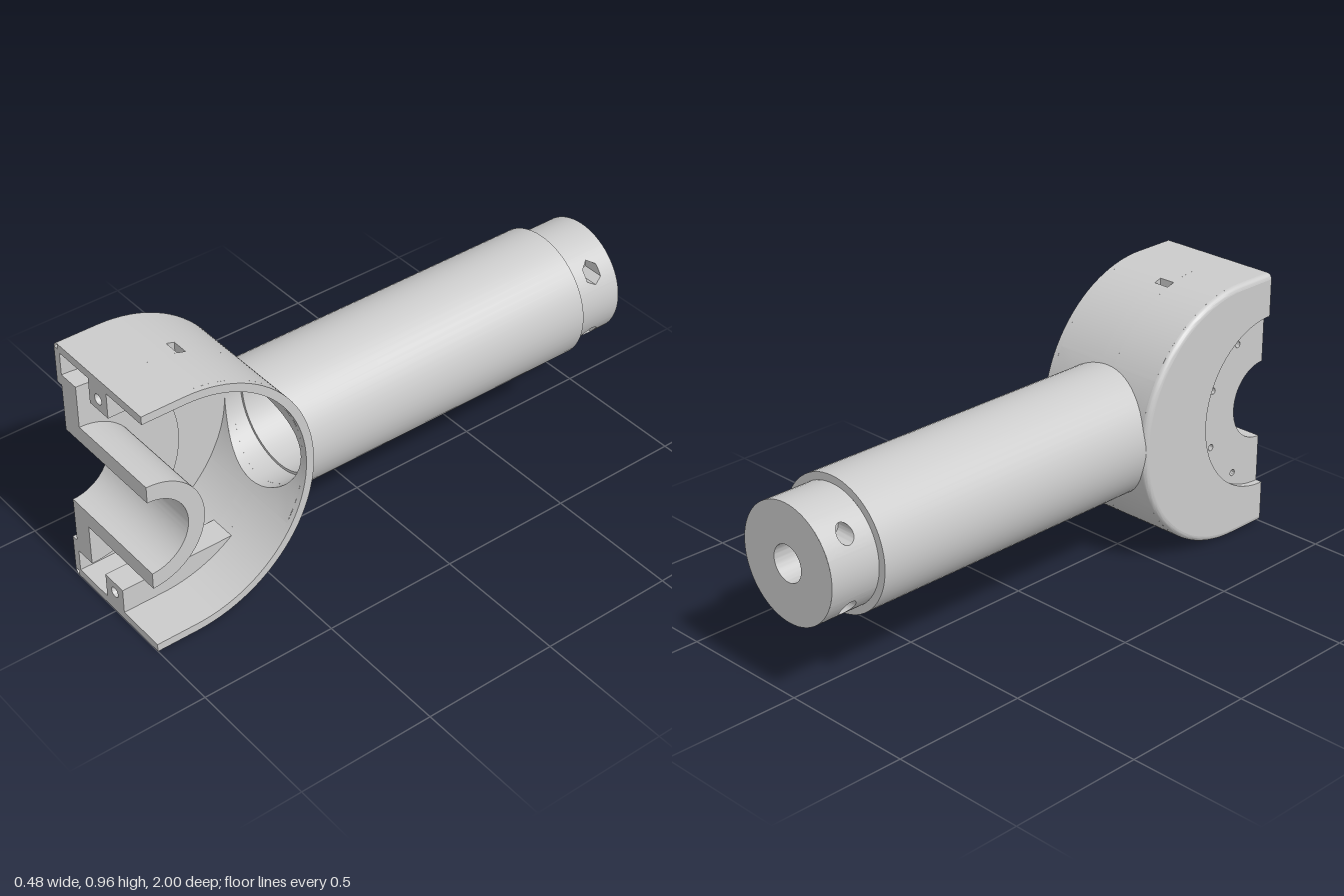
import * as THREE from 'three';
import { toCreasedNormals } from 'three/addons/utils/BufferGeometryUtils.js';

const mat = new THREE.MeshStandardMaterial({ color: 0xcccccc, side: THREE.DoubleSide });
const PI = Math.PI, H = PI / 2;
const ARC = 0.845;            // z of the centre of the rounded back
const R_OUT = 0.48, R_IN = 0.45;
const SPIGOT = 0.21, TUBE = 0.237;

function add(parent, name, geo) {
  const mesh = new THREE.Mesh(toCreasedNormals(geo, 0.5), mat);
  mesh.name = name;
  parent.add(mesh);
  return mesh;
}

// Surface from a rule: fn(i, j) returns [x, y, z]
function grid(ni, nj, fn) {
  const pos = [], idx = [];
  for (let i = 0; i <= ni; i++) for (let j = 0; j <= nj; j++) pos.push(...fn(i, j));
  for (let i = 0; i < ni; i++) for (let j = 0; j < nj; j++) {
    const a = i * (nj + 1) + j, b = a + nj + 1;
    idx.push(a, b, a + 1, b, b + 1, a + 1);
  }
  const g = new THREE.BufferGeometry();
  g.setAttribute('position', new THREE.Float32BufferAttribute(pos, 3));
  g.setIndex(idx);
  g.computeVertexNormals();
  return g;
}

// Rectangle with a hole in its middle, laid onto a curved surface by map(a, b)
function holedPatch(w, h, radius, map) {
  const n = 48, rows = 6;
  return grid(n, rows, (i, j) => {
    const t = (i / n) * PI * 2, c = Math.cos(t), s = Math.sin(t);
    const m = Math.max(Math.abs(c), Math.abs(s)), k = j / rows, r = radius(t);
    return map((1 - k) * r * c + k * w * c / m, (1 - k) * r * s + k * h * s / m);
  });
}

// Profile drawn in (-z, y), extruded along x from x0 to x1
function alongX(shape, x0, x1) {
  return new THREE.ExtrudeGeometry(shape, { depth: x1 - x0, bevelEnabled: false, curveSegments: 32 })
    .rotateY(H).translate(x0, 0, 0);
}

function arcPoints(R, from, to, n = 24) {
  return Array.from({ length: n + 1 }, (_, i) => {
    const p = from + (to - from) * i / n;
    return new THREE.Vector2(-ARC + R * Math.cos(p), R * Math.sin(p));
  });
}

const uPath = (R) => [new THREE.Vector2(-1, R), ...arcPoints(R, H, -H, 48), new THREE.Vector2(-1, -R)];

function halfRing(r0, r1) {
  const s = new THREE.Shape();
  s.absarc(-1, 0, r1, -H, H, false);
  s.absarc(-1, 0, r0, H, -H, true);
  return s;
}

// Piece of the upper wall between two cuts; no z means the end of that wall
function wallPiece(zA, zB) {
  const side = (R) => {
    const angle = (z) => (z === undefined ? Math.asin(0.24 / R) : Math.acos((ARC - z) / R));
    const pts = arcPoints(R, zA === 1 ? H : angle(zA), angle(zB));
    return zA === 1 ? [new THREE.Vector2(-1, R), ...pts] : pts;
  };
  return new THREE.Shape([...side(R_OUT), ...side(R_IN).reverse()]);
}

function box(x0, x1, y0, y1, z0, z1) {
  return new THREE.BoxGeometry(x1 - x0, y1 - y0, z1 - z0)
    .translate((x0 + x1) / 2, (y0 + y1) / 2, (z0 + z1) / 2);
}

// Upper wall with its nut slot and screw block
function buildArm() {
  const arm = new THREE.Group();
  arm.name = 'housingArm';
  const z0 = 0.695, z1 = 0.725, y0 = 0.355;
  add(arm, 'wallSide', alongX(wallPiece(1), -0.22, -0.03));
  add(arm, 'wallSide', alongX(wallPiece(1), 0.03, 0.22));
  add(arm, 'wallFront', alongX(wallPiece(1, z1), -0.03, 0.03));
  add(arm, 'wallBack', alongX(wallPiece(z0), -0.03, 0.03));

  // Front of the block with a screw hole
  const face = new THREE.Shape([[-0.05, y0], [0.05, y0], [0.05, 0.455], [-0.05, 0.455]]
    .map((p) => new THREE.Vector2(...p)));
  const hole = new THREE.Path();
  hole.absarc(0, 0.398, 0.019, 0, PI * 2, true);
  face.holes.push(hole);
  add(arm, 'screwBlock', new THREE.ExtrudeGeometry(face, { depth: 1 - z1, bevelEnabled: false })
    .translate(0, 0, z1));

  // Rear of the block, running out against the curved wall
  const R = 0.455;
  const rear = new THREE.Shape([new THREE.Vector2(-z0, y0),
    ...arcPoints(R, Math.acos((ARC - z0) / R), Math.asin(y0 / R))]);
  add(arm, 'screwBlockRear', alongX(rear, -0.05, 0.05));

  // Sides and floor of the nut slot
  for (const s of [-0.04, 0.04]) add(arm, 'slotSide', box(s - 0.01, s + 0.01, y0, 0.44, z0, z1));
  add(arm, 'slotFloor', box(-0.03, 0.03, y0, y0 + 0.012, z0, z1));
  return arm;
}

function buildHousing(root) {
  const housing = new THREE.Group();
  housing.name = 'housing';
  root.add(housing);

  const upper = buildArm(), lower = buildArm();
  lower.scale.y = -1;
  housing.add(upper, lower);

  // Rim on the open side
  add(housing, 'openRim', alongX(new THREE.Shape([...uPath(R_OUT), ...uPath(R_IN).reverse()]), 0.22, 0.24));

  // Back wall around the tube mouth, outside and inside
  for (const R of [R_OUT, R_IN]) {
    add(housing, 'backWall', holedPatch(0.22, 0.24, () => SPIGOT,
      (x, y) => [x, y, ARC - Math.sqrt(R * R - y * y)]));
  }

  // Side plate with a round recess, and its rounded edge
  const plate = new THREE.Shape(uPath(0.46));
  plate.lineTo(-1, -0.322);
  plate.absarc(-1, 0, 0.322, -H, H, false);
  add(housing, 'sidePlate', alongX(plate, -0.24, -0.21));
  const rows = Array.from({ length: 7 }, (_, i) => uPath(0.46 + 0.02 * Math.cos(i / 6 * H)));
  add(housing, 'roundedEdge', grid(6, rows[0].length - 1, (i, j) =>
    [-0.22 - 0.02 * Math.sin(i / 6 * H), rows[i][j].y, -rows[i][j].x]));

  // Boss with blind holes in its outer face
  const drilled = halfRing(0.145, 0.365);
  for (const deg of [-61, -22.5, 22.5, 61]) {
    const a = deg * PI / 180, p = new THREE.Path();
    p.absarc(-1 + 0.283 * Math.cos(a), 0.283 * Math.sin(a), 0.012, 0, PI * 2, true);
    drilled.holes.push(p);
  }
  add(housing, 'bossFace', alongX(drilled, -0.215, -0.165));
  add(housing, 'boss', alongX(halfRing(0.145, 0.365), -0.165, -0.13));
  add(housing, 'bearingSleeve', alongX(halfRing(0.145, 0.207), -0.215, 0.24));
}

// Turned part along z; points near the front are fitted to the curved wall
function turned(points) {
  const g = new THREE.LatheGeometry(points.map((p) => new THREE.Vector2(...p)), 64).rotateX(H);
  const p = g.attributes.position;
  for (let i = 0; i < p.count; i++) {
    if (p.getZ(i) < 0.35) continue;
    const x = p.getX(i), y = p.getY(i), R = Math.hypot(x, y) > 0.22 ? 0.47 : R_IN;
    p.setZ(i, ARC - Math.sqrt(R * R - y * y));
  }
  return g;
}

function buildHandle(root) {
  const handle = new THREE.Group();
  handle.name = 'handle';
  root.add(handle);
  add(handle, 'tubeBore', turned([[SPIGOT, 0.4], [SPIGOT, 0.33], [0.2, 0.33], [0.2, -0.75],
    [0.065, -0.75], [0.065, -1], [SPIGOT, -1]]));
  add(handle, 'tube', turned([[SPIGOT, -0.81], [TUBE, -0.81], [TUBE, 0.4]]));

  // Spigot wall: plain arcs between the four drilled patches
  const zMid = -0.905, yHole = 0.128, half = 0.05;
  const a = Math.asin((yHole - half) / SPIGOT), b = H - Math.asin((yHole + half) / SPIGOT);
  [b, a, b, a].forEach((w, i) => add(handle, 'spigotWall',
    new THREE.CylinderGeometry(SPIGOT, SPIGOT, 0.19, 12, 1, true, i * H - w, 2 * w)
      .rotateX(H).translate(0, 0, zMid)));

  // Cross holes: hexagonal nut pockets on +x, round screw heads on -x
  const hex = (t) => 0.036 * Math.cos(PI / 6) / Math.cos((t % (PI / 3)) - PI / 6);
  const round = () => 0.03;
  const surfaceX = (y) => Math.sqrt(SPIGOT * SPIGOT - y * y);
  for (const sx of [-1, 1]) for (const sy of [-1, 1]) {
    const radius = sx > 0 ? hex : round;
    add(handle, 'drilledWall', holedPatch(half, 0.095, radius, (u, v) => {
      const y = sy * yHole + u;
      return [sx * surfaceX(y), y, zMid + v];
    }));
    add(handle, sx > 0 ? 'nutPocket' : 'screwPocket', grid(48, 3, (i, j) => {
      const t = i / 48 * PI * 2, r = j < 2 ? radius(t) : 0.019;
      const y = sy * yHole + r * Math.cos(t);
      return [sx * [surfaceX(y), 0.1, 0.1, 0][j], y, zMid + r * Math.sin(t)];
    }));
  }
}

export function createModel() {
  const model = new THREE.Group();
  model.name = 'handleWithBearingHousing';
  const body = new THREE.Group();
  body.name = 'body';
  body.position.y = R_OUT;
  model.add(body);
  buildHousing(body);
  buildHandle(body);
  return model;
}
